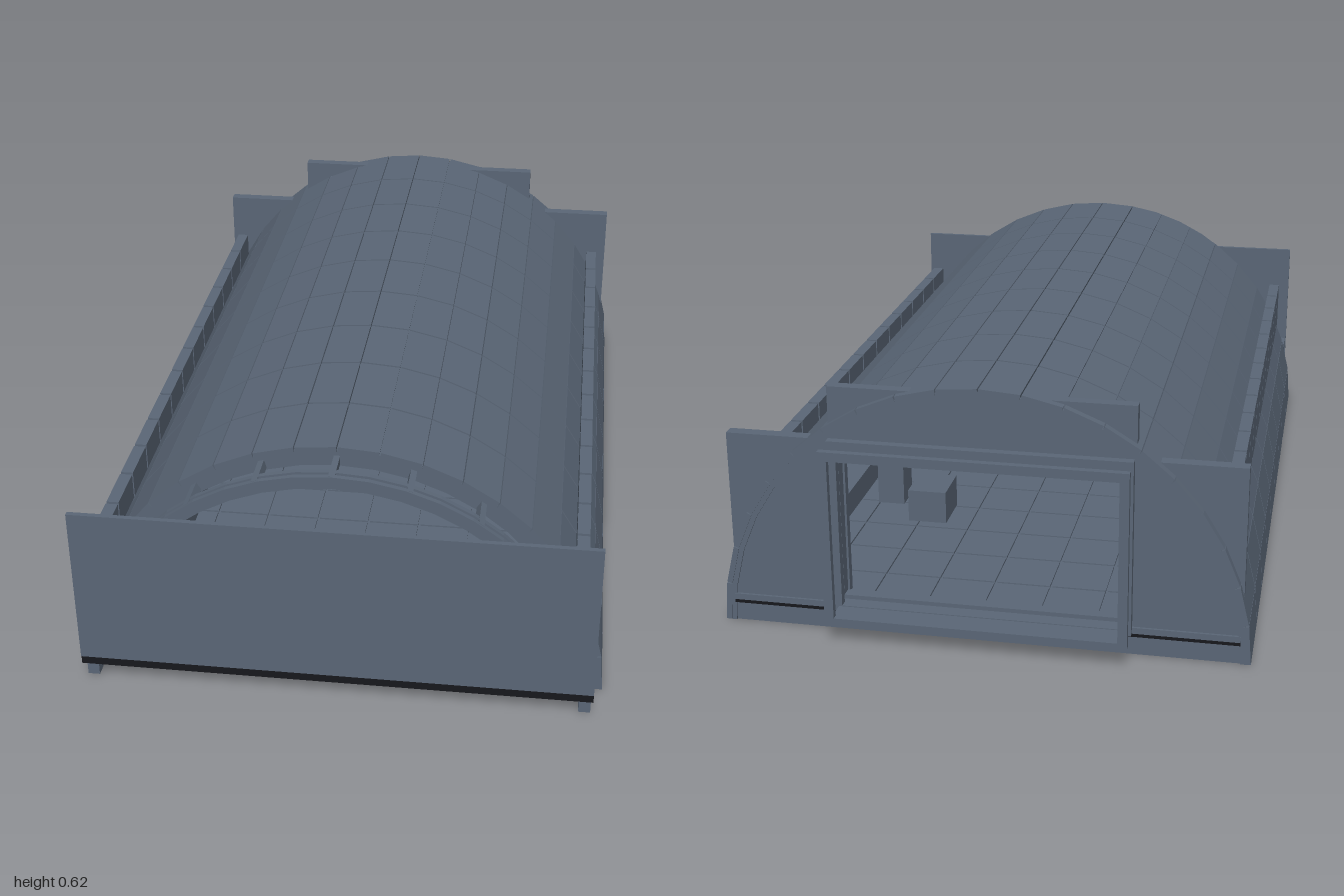
import * as THREE from 'three';

const R = 0.625, Z0 = -0.92, Z1 = 0.89, SIDES = 20;

export function createModel() {
  const steel = new THREE.MeshStandardMaterial({ color: 0x5a6676, side: THREE.DoubleSide });
  steel.name = 'blue grey steel';
  const dark = new THREE.MeshStandardMaterial({ color: 0x17181c });
  dark.name = 'dark underside';
  const model = new THREE.Group();
  model.name = 'hangar';

  const add = (name, geo, mat = steel, parent = model) => {
    const m = new THREE.Mesh(geo, mat);
    m.name = name;
    parent.add(m);
    return m;
  };
  // Box given by its lower and upper limits on each axis
  const box = (name, x0, x1, y0, y1, z0, z1, mat, parent) => {
    const g = new THREE.BoxGeometry(x1 - x0, y1 - y0, z1 - z0);
    g.translate((x0 + x1) / 2, (y0 + y1) / 2, (z0 + z1) / 2);
    return add(name, g, mat, parent);
  };
  const pair = (name, x0, x1, ...rest) => {
    box(name + 'Left', x0, x1, ...rest);
    box(name + 'Right', -x1, -x0, ...rest);
  };
  const group = (name) => {
    const g = new THREE.Group();
    g.name = name;
    model.add(g);
    return g;
  };
  const extrude = (shape, z0, z1) => {
    const g = new THREE.ExtrudeGeometry(shape, { depth: z1 - z0, bevelEnabled: false });
    return g.translate(0, 0, z0);
  };
  // Faceted arch band between two radii, from angle a0 to a1
  const band = (ri, ro, a0, a1, n, z0, z1) => {
    const pts = [];
    for (let i = 0; i <= n; i++) {
      const a = a0 + (a1 - a0) * i / n;
      pts.push(new THREE.Vector2(ro * Math.cos(a), ro * Math.sin(a)));
    }
    for (let i = n; i >= 0; i--) {
      const a = a0 + (a1 - a0) * i / n;
      pts.push(new THREE.Vector2(ri * Math.cos(a), ri * Math.sin(a)));
    }
    return extrude(new THREE.Shape(pts), z0, z1);
  };
  const rectHole = (x0, x1, y0, y1) => new THREE.Path([
    new THREE.Vector2(x0, y0), new THREE.Vector2(x0, y1),
    new THREE.Vector2(x1, y1), new THREE.Vector2(x1, y0)]);
  const rectShape = (x0, x1, y0, y1) => new THREE.Shape([
    new THREE.Vector2(x0, y0), new THREE.Vector2(x1, y0),
    new THREE.Vector2(x1, y1), new THREE.Vector2(x0, y1)]);

  // Barrel roof: nine bays of panels over a continuous inner shell
  const roof = group('roof');
  const step = Math.PI / SIDES, bay = (Z1 - Z0) / 9;
  add('roofShell', band(0.6, 0.616, 0, Math.PI, SIDES, Z0 + 0.002, Z1 - 0.002), steel, roof);
  for (let b = 0; b < 9; b++) {
    for (let s = 0; s < SIDES; s++) {
      const gap = 0.0022;
      add('roofPanel', band(0.612, R, s * step + gap, (s + 1) * step - gap, 1,
        Z0 + b * bay + (b ? 0.003 : 0), Z0 + (b + 1) * bay - (b < 8 ? 0.003 : 0)), steel, roof);
    }
  }

  // Inner ribs under each bay joint
  const ribs = group('innerRibs');
  for (let b = 1; b <= 9; b++) {
    const z = Z0 + b * bay - 0.012;
    add('innerRib', band(0.577, 0.602, 0.1, Math.PI - 0.1, SIDES, z - 0.012, z + 0.01), steel, ribs);
  }
  for (const a of [0.6, 0.94, 1.25, Math.PI - 1.25, Math.PI - 0.94, Math.PI - 0.6])
    add('purlin', band(0.585, 0.602, a - 0.01, a + 0.01, 1, Z0 + 0.02, Z1 - 0.01), steel, ribs);

  // Free-standing front arch, tied to the roof by struts
  const arch = group('frontArch');
  for (const z of [0.947, 0.968])
    add('archBand', band(0.572, 0.602, 0.2, Math.PI - 0.2, SIDES, z, z + 0.012), steel, arch);
  add('archCore', band(0.58, 0.596, 0.2, Math.PI - 0.2, SIDES, 0.95, 0.978), steel, arch);
  for (let i = -4; i <= 4; i++) {
    const a = Math.PI / 2 + i * 0.292;
    add('archStrut', band(0.582, 0.602, a - 0.012, a + 0.012, 1, 0.88, 0.975), steel, arch);
  }

  // Floor with a dark underside and tile joints raised as thin strips
  box('floor', -0.6, 0.6, 0.055, 0.07, -0.92, 0.995);
  box('floorUnderside', -0.6, 0.6, 0.047, 0.055, -0.92, 0.995, dark);
  const tiles = group('floorTiles');
  for (let i = 0; i < 8; i++)
    for (let j = 0; j < 13; j++) {
      const x = -0.54 + i * 0.135, z = -0.9 + j * 0.14;
      box('floorTile', x + 0.003, x + 0.132, 0.07, 0.075, z + 0.003, z + 0.137, steel, tiles);
    }

  // Front panel, corner sills and feet
  box('frontPanel', -0.603, 0.603, 0.07, 0.47, 0.988, 1);
  box('frontPanelFoot', -0.603, 0.603, 0.048, 0.07, 0.975, 0.997, dark);
  pair('cornerSill', 0.56, 0.6, 0.06, 0.17, 0.88, 0.99);
  pair('cornerFoot', 0.57, 0.598, 0, 0.055, 0.945, 0.975);
  for (let i = 0; i < 5; i++) {
    const z = -0.75 + i * 0.37;
    pair('sideBracket', 0.575, 0.612, 0.005, 0.06, z - 0.015, z + 0.015);
  }

  // Side wall plates that rise through the roof
  for (let i = 0; i < 13; i++) {
    const z = -0.81 + i * 0.1335;
    pair('wallPlate', 0.545, 0.575, i === 12 ? 0.24 : 0.07, 0.37, z + 0.004, z + 0.129);
  }
  pair('wallBacking', 0.55, 0.563, 0.07, 0.35, -0.81, 0.92);
  pair('wallEnd', 0.548, 0.572, 0.17, 0.25, 0.89, 0.92);

  // Rounded back wall with a door opening
  const wall = new THREE.Shape();
  for (let i = 0; i <= SIDES; i++) {
    const a = i * step, x = 0.612 * Math.cos(a), y = 0.612 * Math.sin(a);
    i ? wall.lineTo(x, y) : wall.moveTo(x, y);
  }
  wall.holes.push(rectHole(-0.335, 0.335, 0.07, 0.465));
  add('backWall', extrude(wall, -0.914, -0.902));

  // Square plates behind the back wall
  const plate = rectShape(-0.603, 0.603, 0.07, 0.472);
  plate.holes.push(rectHole(-0.335, 0.335, 0.08, 0.46));
  add('lowerBackPlate', extrude(plate, -0.898, -0.868));
  box('upperBackPlate', -0.355, 0.355, 0.475, 0.602, -0.9, -0.872);
  for (let i = -2; i <= 2; i++) {
    const x = i * 0.117, frame = rectShape(x - 0.045, x + 0.045, 0.505, 0.56);
    frame.holes.push(rectHole(x - 0.039, x + 0.039, 0.511, 0.554));
    add('windowFrame', extrude(frame, -0.872, -0.864));
  }

  // Back door: two frames joined by a threshold
  for (const [z0, z1, o] of [[-1, -0.984, 0.352], [-0.934, -0.914, 0.352], [-0.87, -0.85, 0.345]]) {
    const frame = rectShape(-o, o, 0.056, 0.482);
    frame.holes.push(rectHole(-0.33, 0.33, 0.07, 0.46));
    add('doorFrame', extrude(frame, z0, z1));
  }
  box('doorThreshold', -0.338, 0.338, 0.056, 0.068, -0.99, -0.9);

  // Equipment stored inside
  box('crate', 0.2, 0.3, 0.075, 0.16, -0.45, -0.33);
  box('smallCrate', 0.34, 0.41, 0.075, 0.2, -0.35, -0.27);
  pair('storageBench', 0.46, 0.545, 0.075, 0.14, -0.6, 0.6);

  return model;
}
